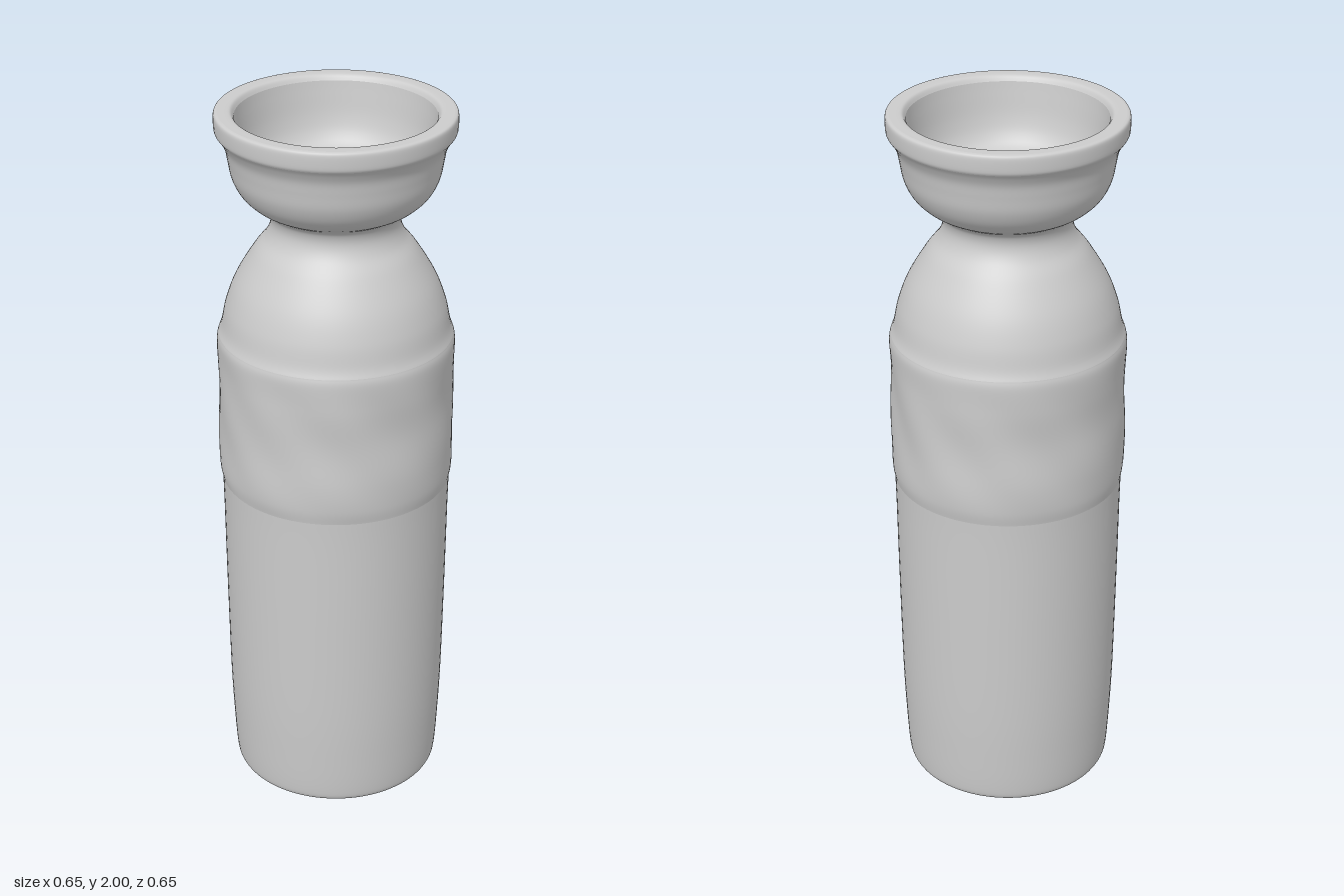
import * as THREE from 'three';

const SEGMENTS = 96;

// Smooth profile through a few [radius, height] points
function smooth(points, divisions) {
  return new THREE.SplineCurve(points.map(([r, y]) => new THREE.Vector2(r, y))).getPoints(divisions);
}

function turned(name, profile) {
  const mesh = new THREE.Mesh(
    new THREE.LatheGeometry(profile, SEGMENTS),
    new THREE.MeshStandardMaterial({ color: 0xcccccc, side: THREE.DoubleSide })
  );
  mesh.name = name;
  return mesh;
}

// Shallow worn relief: fades to nothing at both edges of the band
function addRelief(geometry, low, high, depth) {
  const p = geometry.attributes.position;
  for (let i = 0; i < p.count; i++) {
    const x = p.getX(i), y = p.getY(i), z = p.getZ(i);
    const a = Math.atan2(z, x);
    const fade = Math.sin(Math.PI * THREE.MathUtils.clamp((y - low) / (high - low), 0, 1));
    const bump = Math.sin(5 * a + 9 * y) * Math.cos(3 * a - 14 * y) + 0.6 * Math.sin(9 * a - 21 * y);
    const s = 1 + depth * fade * bump / Math.hypot(x, z);
    p.setXYZ(i, x * s, y, z * s);
  }
  geometry.computeVertexNormals();
  // Match the normals across the lathe seam
  const n = geometry.attributes.normal;
  const rows = p.count / (SEGMENTS + 1);
  for (let j = 0; j < rows; j++) {
    const k = SEGMENTS * rows + j;
    const v = new THREE.Vector3().fromBufferAttribute(n, j)
      .add(new THREE.Vector3().fromBufferAttribute(n, k)).normalize();
    n.setXYZ(j, v.x, v.y, v.z);
    n.setXYZ(k, v.x, v.y, v.z);
  }
}

export function createModel() {
  const group = new THREE.Group();
  group.name = 'bottleVase';

  // Flat underside
  const base = turned('base', [new THREE.Vector2(0, 0.005), new THREE.Vector2(0.275, 0.005)]);

  // Gently widening lower body with a rounded foot
  const body = turned('body', smooth([
    [0.275, 0.005], [0.287, 0.012], [0.293, 0.04], [0.299, 0.13], [0.306, 0.3],
    [0.311, 0.6], [0.314, 0.85], [0.316, 0.94]
  ], 48));

  // Slightly raised band around the upper body
  const band = turned('reliefBand', smooth([
    [0.316, 0.94], [0.322, 0.98], [0.323, 1.05], [0.319, 1.18], [0.321, 1.28], [0.323, 1.35], [0.319, 1.375]
  ], 48));
  addRelief(band.geometry, 0.94, 1.375, 0.003);

  // Domed shoulder drawn into the waist below the bowl
  const shoulder = turned('shoulder', smooth([
    [0.319, 1.375], [0.31, 1.4], [0.297, 1.46], [0.27, 1.53], [0.222, 1.61],
    [0.187, 1.655], [0.174, 1.69], [0.179, 1.72], [0.197, 1.738]
  ], 48));

  // Bowl outside, up to the underside of the lip
  const bowl = turned('bowl', smooth([
    [0.197, 1.738], [0.225, 1.755], [0.255, 1.785], [0.275, 1.825], [0.284, 1.87],
    [0.291, 1.905], [0.303, 1.93], [0.314, 1.945]
  ], 36));

  // Upright lip with a softened top edge
  const lip = turned('lip', smooth([
    [0.314, 1.945], [0.318, 1.955], [0.319, 1.985], [0.316, 1.997], [0.308, 2.0]
  ], 16));

  // Flat rim, hollow wall and shallow floor of the bowl
  const rim = turned('rim', smooth([[0.308, 2.0], [0.285, 2.0], [0.273, 1.997], [0.265, 1.985]], 12));
  const hollow = turned('bowlInterior', smooth([
    [0.265, 1.985], [0.26, 1.95], [0.25, 1.89], [0.235, 1.845], [0.21, 1.815],
    [0.16, 1.797], [0.08, 1.79], [0, 1.788]
  ], 36));

  group.add(base, body, band, shoulder, bowl, lip, rim, hollow);
  return group;
}
